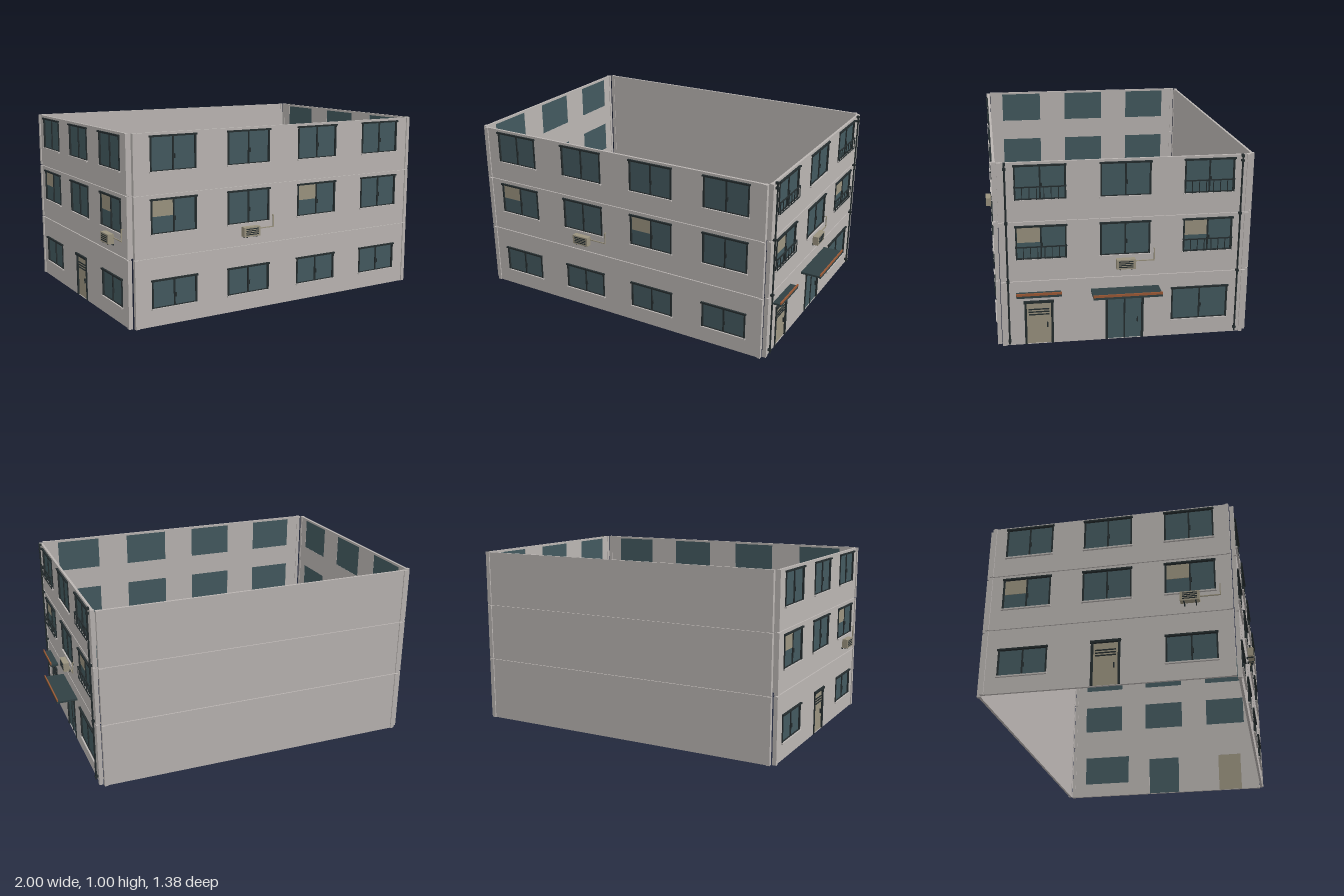
import * as THREE from 'three';

const mat = (name, color, side = THREE.FrontSide) => {
  const m = new THREE.MeshStandardMaterial({ color, side });
  m.name = name;
  return m;
};

export function createModel() {
  const wallMat = mat('plaster', 0xbab5b2);
  const glassMat = mat('glass', 0x43595f);
  const darkMat = mat('darkMetal', 0x252d2f);
  const beigeMat = mat('beigePaint', 0x9a937f);
  const roofMat = mat('awningSheet', 0x304043);
  const rustMat = mat('rustTrim', 0x9c5a36);
  const brownMat = mat('awningUnderside', 0x5e564a);

  const T = 0.013; // wall thickness
  const floors = [[0, 0.36], [0.366, 0.686], [0.692, 1]];
  const rows = [[0.09, 0.248], [0.48, 0.667], [0.8, 0.987]];

  // Box given by its limits: across, up, outward
  function box(parent, name, m, x0, x1, y0, y1, z0, z1) {
    const mesh = new THREE.Mesh(new THREE.BoxGeometry(x1 - x0, y1 - y0, z1 - z0), m);
    mesh.position.set((x0 + x1) / 2, (y0 + y1) / 2, (z0 + z1) / 2);
    mesh.name = name;
    parent.add(mesh);
    return mesh;
  }
  function group(parent, name, x = 0, y = 0, z = 0) {
    const g = new THREE.Group();
    g.name = name;
    g.position.set(x, y, z);
    parent.add(g);
    return g;
  }

  // Frame bars at both sides and the top of an opening
  function surround(g, h, b, y0, y1) {
    for (const s of [-1, 1]) {
      const x = s * (h - b / 2);
      box(g, 'frameSide', darkMat, x - b / 2, x + b / 2, y0, y1, -0.009, 0.005);
    }
    box(g, 'lintel', darkMat, -h - 0.004, h + 0.004, y1 - b - 0.001, y1, -0.009, 0.011);
  }

  function addWindow(parent, o) {
    const g = group(parent, 'window', o.u);
    const h = o.w / 2, { y0, y1 } = o, ym = (y0 + y1) / 2;
    box(g, 'glass', glassMat, -h, h, y0, y1, -T + 0.001, -0.005);
    surround(g, h, 0.008, y0, y1);
    box(g, 'mullion', darkMat, -0.004, 0.004, y0, y1, -0.007, 0.001);
    box(g, 'frameBottom', darkMat, -h, h, y0 + 0.005, y0 + 0.01, -0.007, 0.002);
    box(g, 'handle', darkMat, 0.005, 0.01, ym - 0.027, ym - 0.004, -0.006, 0.004);
    box(g, 'sill', wallMat, -h - 0.004, h + 0.004, y0 - 0.002, y0 + 0.006, -0.006, 0.011);
    if (o.blind) box(g, 'blind', beigeMat, -h + 0.009, -0.005, y1 - 0.093, y1 - 0.01, -0.006, -0.002);
    if (o.rail) {
      const r = group(g, 'railing');
      box(r, 'topRail', darkMat, -h, h, y0 + 0.07, y0 + 0.076, 0.009, 0.015);
      box(r, 'bottomRail', darkMat, -h, h, y0 + 0.008, y0 + 0.012, 0.01, 0.014);
      for (let i = 0; i < 8; i++) {
        const x = -h + 0.002 + i * (o.w - 0.004) / 7;
        box(r, 'bar', darkMat, x - 0.002, x + 0.002, y0 + 0.006, y0 + 0.072, 0.01, 0.014);
      }
      for (const s of [-1, 1])
        box(r, 'railEnd', darkMat, s * h - 0.002, s * h + 0.002, y0 + 0.07, y0 + 0.076, 0, 0.014);
    }
  }

  function addDoor(parent, o) {
    const double = o.kind === 'double';
    const g = group(parent, double ? 'doubleDoor' : 'door', o.u);
    const h = o.w / 2;
    box(g, 'doorLeaf', double ? glassMat : beigeMat, -h, h, o.y0, o.y1, -T + 0.001, -0.004);
    surround(g, h, 0.012, o.y0, o.y1);
    if (double) {
      box(g, 'doorGap', darkMat, -0.004, 0.004, o.y0, o.y1 - 0.012, -0.006, 0);
      box(g, 'transomStrip', beigeMat, -h + 0.012, h - 0.012, 0.233, 0.236, -0.006, -0.002);
    } else {
      for (let i = 0; i < 3; i++)
        box(g, 'louvre', darkMat, -0.054, 0.054, 0.165 + i * 0.015, 0.171 + i * 0.015, -0.006, 0);
    }
    const x = h - 0.032;
    box(g, 'doorHandle', darkMat, x - 0.003, x + 0.003, 0.095, 0.122, -0.006, 0.006);
  }

  function addAwning(parent, u, w, depth) {
    const g = group(parent, 'awning', u);
    box(g, 'awningTop', roofMat, -w / 2, w / 2, 0.288, 0.299, 0, depth - 0.004);
    box(g, 'awningUnderside', brownMat, -w / 2 + 0.004, w / 2 - 0.004, 0.285, 0.288, 0, depth - 0.008);
    box(g, 'awningLip', rustMat, -w / 2, w / 2, 0.297, 0.31, depth - 0.006, depth);
    box(g, 'awningEdge', roofMat, -w / 2, w / 2, 0.285, 0.297, depth - 0.006, depth);
  }

  // Cooling unit with slats, brackets and a bent pipe
  function addCooler(parent, u) {
    const g = group(parent, 'coolingUnit', u, 0.442, 0);
    box(g, 'coolerBody', beigeMat, -0.05, 0.05, -0.026, 0.026, 0.008, 0.041);
    for (let i = 0; i < 4; i++)
      box(g, 'coolerSlat', darkMat, -0.038, 0.038, -0.017 + i * 0.01, -0.012 + i * 0.01, 0.04, 0.043);
    for (const s of [-1, 1]) {
      box(g, 'bracketArm', darkMat, s * 0.03 - 0.003, s * 0.03 + 0.003, -0.031, -0.026, 0, 0.038);
      box(g, 'bracketPost', darkMat, s * 0.03 - 0.003, s * 0.03 + 0.003, -0.038, -0.026, 0, 0.008);
    }
    box(g, 'coolerPipe', beigeMat, 0.05, 0.155, 0.004, 0.009, 0.008, 0.013);
    box(g, 'coolerPipe', beigeMat, 0.15, 0.155, 0.004, 0.072, 0.008, 0.013);
    box(g, 'coolerPipe', beigeMat, 0.15, 0.155, 0.067, 0.072, 0, 0.012);
  }

  function addDrainpipe(parent, u) {
    const g = group(parent, 'drainpipe', u, 0, 0.012);
    const pipe = new THREE.Mesh(new THREE.CylinderGeometry(0.005, 0.005, 0.99, 8), darkMat);
    pipe.position.y = 0.507;
    pipe.name = 'pipe';
    g.add(pipe);
    for (const y of [0.03, 0.365, 0.685, 0.97])
      box(g, 'pipeClamp', darkMat, -0.008, 0.008, y - 0.005, y + 0.005, -0.012, 0.007);
    box(g, 'pipeTop', darkMat, -0.006, 0.006, 0.99, 1.003, -0.012, 0.006);
  }

  // One wall seen from outside: three storeys with cut openings, grooves and end strips
  function addWall(parent, name, x, z, turn, half, openings) {
    const g = group(parent, name, x, 0, z);
    g.rotation.y = turn;
    floors.forEach(([y0, y1], i) => {
      const shape = new THREE.Shape([[-half, y0], [half, y0], [half, y1], [-half, y1]]
        .map(p => new THREE.Vector2(...p)));
      for (const o of openings.filter(o => o.y0 >= y0 && o.y1 <= y1)) {
        const a = o.u - o.w / 2, b = o.u + o.w / 2;
        shape.holes.push(new THREE.Path([[a, o.y0], [a, o.y1], [b, o.y1], [b, o.y0]]
          .map(p => new THREE.Vector2(...p))));
      }
      const panel = new THREE.Mesh(
        new THREE.ExtrudeGeometry(shape, { depth: T, bevelEnabled: false }), wallMat);
      panel.position.z = -T;
      panel.name = 'storeyPanel';
      g.add(panel);
      for (const s of [-1, 1]) {
        const c = s * (half - 0.01);
        box(g, 'cornerStrip', wallMat, c - 0.01, c + 0.01, y0, y1, -T - 0.003, 0.006);
      }
      if (i < 2) box(g, 'groove', wallMat, -half, half, y1, floors[i + 1][0], -T, -0.007);
    });
    for (const o of openings) (o.kind === 'window' ? addWindow : addDoor)(g, o);
    return g;
  }

  const win = (u, row, extra = {}) =>
    ({ kind: 'window', u, w: 0.262, y0: rows[row][0], y1: rows[row][1], ...extra });
  const door = (kind, u, w) => ({ kind, u, w, y0: 0.002, y1: 0.25 });

  const model = new THREE.Group();
  model.name = 'building';
  const cx = -0.035, cz = -0.0235, halfX = 0.9, halfZ = 0.65, S = 0.436;

  // Front: four windows on each storey
  const frontOpenings = [];
  for (let r = 0; r < 3; r++)
    for (let c = 0; c < 4; c++)
      frontOpenings.push(win((c - 1.5) * 0.45, r, { blind: r === 1 && c % 2 === 0 }));
  const front = addWall(model, 'frontWall', cx, 0.645, 0, halfX, frontOpenings);
  addCooler(front, -0.225);

  // Sides: three columns, with doors at street level
  const right = [door('single', -0.455, 0.152), door('double', 0, 0.205),
    win(0.405, 0, { w: 0.306, y1: 0.282 })];
  const left = [win(-S, 0), door('single', 0, 0.152), win(S, 0)];
  for (const r of [1, 2])
    for (const c of [-1, 0, 1]) {
      const blind = r === 1 && c !== 0;
      right.push(win(c * S, r, { blind, rail: c !== 0 }));
      left.push(win(c * S, r, { blind }));
    }
  const rightWall = addWall(model, 'entranceWall', 0.883, cz, Math.PI / 2, halfZ, right);
  addCooler(rightWall, 0);
  addAwning(rightWall, -0.455, 0.235, 0.047);
  addAwning(rightWall, 0, 0.362, 0.117);
  addDrainpipe(rightWall, -0.612);
  addDrainpipe(rightWall, 0.604);
  const leftWall = addWall(model, 'sideWall', -0.957, cz, -Math.PI / 2, halfZ, left);
  addCooler(leftWall, S);

  // Blank back
  addWall(model, 'backWall', cx, -0.69, Math.PI, halfX, []);
  return model;
}
